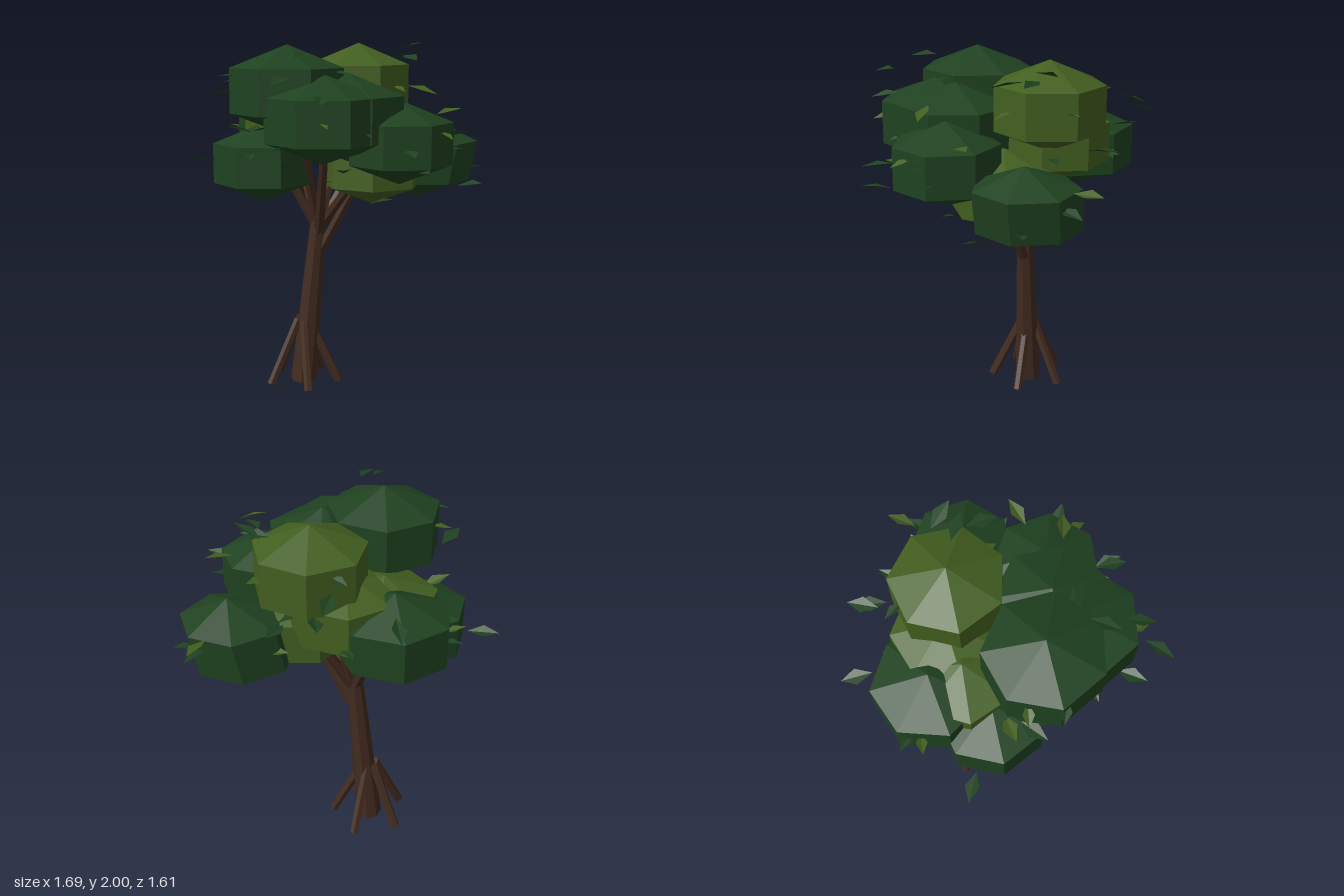
import * as THREE from 'three';

const bark = new THREE.MeshStandardMaterial({ color: 0x422b1f, flatShading: true, name: 'bark' });
const darkGreen = new THREE.MeshStandardMaterial({ color: 0x1f4220, flatShading: true, name: 'darkGreen', side: THREE.DoubleSide });
const oliveGreen = new THREE.MeshStandardMaterial({ color: 0x435f20, flatShading: true, name: 'oliveGreen', side: THREE.DoubleSide });

// Foliage clumps: centre x, y, z, ring radius, half height, corner angle in degrees, lean in x
const CLUMPS = [
  ['topFrontClump', -0.20, 1.76, 0.18, 0.31, 0.24, 158, 0, darkGreen],
  ['topBackClump', 0.11, 1.76, -0.33, 0.295, 0.24, 212, 0, oliveGreen],
  ['frontClump', 0.02, 1.62, 0.33, 0.31, 0.235, 157, 0, darkGreen],
  ['innerFrontClump', 0.13, 1.62, 0.18, 0.30, 0.235, -45, 0, darkGreen],
  ['leftClump', 0.40, 1.485, 0.13, 0.285, 0.225, 50, 0, darkGreen],
  ['leftBackClump', 0.50, 1.335, -0.34, 0.28, 0.225, 0, 0.2, darkGreen],
  ['rightClump', -0.395, 1.335, -0.06, 0.285, 0.225, 160, 0, darkGreen],
  ['rightBackClump', -0.32, 1.46, -0.38, 0.30, 0.225, 203, 0, darkGreen],
  ['innerRightClump', -0.25, 1.49, -0.22, 0.28, 0.2, 164, 0, oliveGreen],
  ['innerBackClump', -0.06, 1.54, -0.33, 0.28, 0.21, 206, 0, oliveGreen],
  ['lowerClump', 0.22, 1.325, -0.12, 0.28, 0.22, 30, 0, oliveGreen],
];

// Loose leaves at the crown's edge: x, y, z, heading in degrees
const EDGE_LEAVES = [
  [-0.77, 1.33, -0.11, 5], [0.77, 1.22, -0.17, 30], [-0.37, 1.68, -0.72, 70], [-0.04, 1.80, -0.73, 95],
  [0.02, 1.68, -0.72, 75], [0.23, 1.58, -0.65, 110], [0.62, 1.47, -0.68, 105, 1], [0.65, 1.38, -0.60, 120],
  [0.49, 1.47, 0.48, 70], [0.55, 1.37, 0.46, 60], [0.06, 1.74, 0.63, 80], [-0.12, 1.84, 0.72, 110],
  [-0.14, 1.50, 0.63, 105], [-0.56, 1.74, 0.17, 120], [0.70, 1.54, 0.17, 10], [0.65, 1.64, -0.05, 140, 1],
  [0.40, 1.98, -0.40, 25], [0.38, 1.92, -0.32, 10], [0.52, 1.77, 0.20, 0, 1], [-0.50, 1.53, 0.05, 150, 1],
  [-0.07, 1.95, 0.45, 100], [0.15, 1.37, 0.46, 80], [0.30, 1.16, 0.14, 20], [0.42, 1.92, -0.2, 60],
];

// Small repeatable random source
function makeRandom(seed) {
  return () => (seed = (seed * 16807) % 2147483647) / 2147483647;
}

// Tapered limb between two points
function limb(name, from, to, r0, r1, sides = 6) {
  const a = new THREE.Vector3(...from), b = new THREE.Vector3(...to);
  const dir = b.clone().sub(a);
  const mesh = new THREE.Mesh(new THREE.CylinderGeometry(r1, r0, dir.length(), sides), bark);
  mesh.name = name;
  mesh.position.copy(a).add(b).multiplyScalar(0.5);
  mesh.quaternion.setFromUnitVectors(new THREE.Vector3(0, 1, 0), dir.normalize());
  return mesh;
}

// Seven-sided drum with shallow cones above and below
function clump([name, x, y, z, r, h, angle, lean, material]) {
  const geo = new THREE.SphereGeometry(1, 7, 3);
  geo.rotateY(THREE.MathUtils.degToRad(180 - angle));
  geo.scale(r / Math.sin(Math.PI / 3), h, r / Math.sin(Math.PI / 3));
  geo.applyMatrix4(new THREE.Matrix4().makeShear(0, 0, lean, 0, 0, 0));
  const mesh = new THREE.Mesh(geo, material);
  mesh.name = name;
  mesh.position.set(x, y, z);
  return mesh;
}

// Diamond leaf folded along its middle
function leafGeometry() {
  const geo = new THREE.BufferGeometry();
  geo.setAttribute('position', new THREE.Float32BufferAttribute(
    [-0.085, 0, 0, 0, 0.012, 0.04, 0.085, 0, 0, 0, 0.012, -0.04], 3));
  geo.setIndex([0, 1, 2, 0, 2, 3]);
  geo.computeVertexNormals();
  return geo;
}

export function createModel() {
  const tree = new THREE.Group();
  tree.name = 'tree';

  // Leaning trunk
  tree.add(limb('trunk', [-0.185, 0.01, -0.14], [-0.09, 1.02, -0.14], 0.078, 0.045, 8));

  // Five splayed roots around the foot of the trunk
  for (let i = 0; i < 5; i++) {
    const a = THREE.MathUtils.degToRad(i * 72 - 1);
    const dx = Math.cos(a) * 0.212, dz = Math.sin(a) * 0.212;
    tree.add(limb('root', [-0.185 + dx, 0.012, -0.14 + dz],
      [-0.185 + dx * 0.15, 0.39, -0.14 + dz * 0.15], 0.026, 0.026));
  }

  // Branches reaching into the crown
  const branches = [
    [[-0.07, 0.83, -0.14], [0.2, 1.34, -0.08]], [[-0.1, 0.95, -0.14], [-0.3, 1.32, -0.1]],
    [[-0.09, 0.95, -0.14], [-0.18, 1.65, 0.1]], [[-0.09, 0.9, -0.14], [0.01, 1.55, 0.2]],
    [[-0.09, 0.92, -0.14], [0.03, 1.6, -0.3]], [[-0.1, 0.95, -0.15], [-0.26, 1.42, -0.34]],
    [[-0.08, 0.96, -0.14], [0.2, 1.34, 0.05]], [[-0.08, 0.95, -0.15], [0.15, 1.4, -0.28]],
  ];
  for (const [from, to] of branches) tree.add(limb('branch', from, to, 0.032, 0.022));

  // Crown
  for (const spec of CLUMPS) tree.add(clump(spec));

  // Loose leaves
  const leafShape = leafGeometry();
  const random = makeRandom(41);
  const addLeaf = (x, y, z, heading, material, size) => {
    const leaf = new THREE.Mesh(leafShape, material);
    leaf.name = 'leaf';
    leaf.position.set(x, y, z);
    leaf.rotation.set((random() - 0.5) * 0.6, -heading, (random() - 0.5) * 0.6, 'YXZ');
    leaf.scale.setScalar(size);
    tree.add(leaf);
  };
  for (const [x, y, z, deg, olive] of EDGE_LEAVES) {
    addLeaf(x, y, z, THREE.MathUtils.degToRad(deg), olive ? oliveGreen : darkGreen, 1);
  }

  // Leaves poking out of each clump's sides
  for (const [, x, y, z, r, h] of CLUMPS) {
    for (let i = 0; i < 4; i++) {
      const a = (i + random()) * Math.PI / 2;
      addLeaf(x + Math.cos(a) * r, y + (random() - 0.5) * h, z + Math.sin(a) * r,
        a + random() - 0.5, random() < 0.25 ? oliveGreen : darkGreen, 0.75);
    }
  }
  return tree;
}
